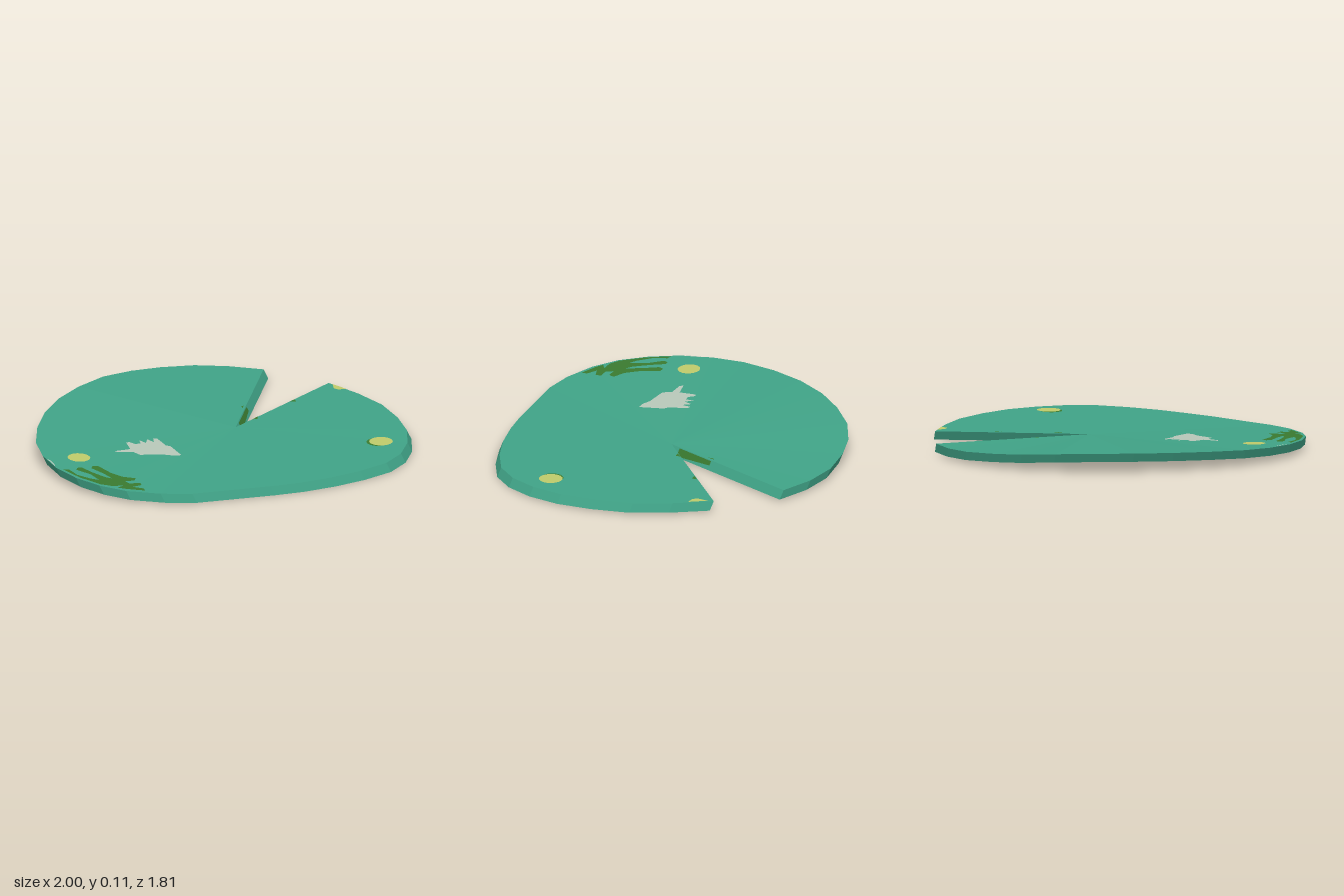
import * as THREE from 'three';

const mat = (name, color) => {
  const m = new THREE.MeshStandardMaterial({ color });
  m.name = name;
  return m;
};

// Rim of the pad from one side of the notch round to the other: x, z, top height
const RIM = [
  [0.57, -0.74, 0.056], [0.41, -0.84, 0.06], [0.24, -0.9, 0.067], [0.05, -0.91, 0.077],
  [-0.12, -0.89, 0.087], [-0.3, -0.83, 0.1], [-0.48, -0.72, 0.106], [-0.64, -0.59, 0.107],
  [-0.78, -0.43, 0.104], [-0.89, -0.25, 0.098], [-0.97, -0.06, 0.09], [-1, 0.12, 0.083],
  [-0.99, 0.3, 0.077], [-0.94, 0.46, 0.071], [-0.86, 0.6, 0.066], [-0.75, 0.71, 0.06],
  [-0.59, 0.8, 0.055], [-0.43, 0.85, 0.051], [-0.24, 0.865, 0.05], [0, 0.885, 0.049],
  [0.16, 0.888, 0.048], [0.34, 0.875, 0.049], [0.52, 0.84, 0.05], [0.69, 0.78, 0.051],
  [0.81, 0.68, 0.052], [0.9, 0.54, 0.053], [0.96, 0.37, 0.055], [0.98, 0.18, 0.056],
  [0.97, -0.03, 0.056], [0.91, -0.23, 0.056], [0.82, -0.43, 0.056],
].map(([x, z, y]) => new THREE.Vector3(x, y, z));
const APEX = new THREE.Vector3(0.13, 0.054, 0.01);
const DROP = new THREE.Vector3(0.02, -0.048, 0.016); // slanted thickness

const fromTriangles = (points) =>
  new THREE.BufferGeometry().setFromPoints(points);

// Slab fanned out from the notch apex
function padGeometry() {
  const low = (p) => p.clone().add(DROP);
  const ring = [APEX, ...RIM];
  const tris = [];
  for (let i = 0; i < RIM.length - 1; i++) {
    const a = RIM[i], b = RIM[i + 1];
    tris.push(APEX, a, b, low(APEX), low(b), low(a));
  }
  ring.forEach((a, i) => {
    const b = ring[(i + 1) % ring.length];
    tris.push(low(a), low(b), b, low(a), b, a);
  });
  const g = fromTriangles(tris);
  g.computeVertexNormals();
  return g;
}

// Height of the top surface at x, z
function topY(x, z) {
  const px = x - APEX.x, pz = z - APEX.z;
  for (let i = 0; i < RIM.length - 1; i++) {
    const a = RIM[i].clone().sub(APEX), b = RIM[i + 1].clone().sub(APEX);
    const det = a.x * b.z - a.z * b.x;
    const u = (px * b.z - pz * b.x) / det, v = (a.x * pz - a.z * px) / det;
    if (u >= -1e-6 && v >= -1e-6) return APEX.y + u * a.y + v * b.y;
  }
  return APEX.y;
}

// Flat marking laid on the top surface, from x, z outline points
function marking(points, lift) {
  const shape = new THREE.Shape(points.map(([x, z]) => new THREE.Vector2(x, -z)));
  const g = new THREE.ShapeGeometry(shape).rotateX(-Math.PI / 2);
  const p = g.attributes.position;
  for (let i = 0; i < p.count; i++) p.setY(i, topY(p.getX(i), p.getZ(i)) + lift);
  g.computeVertexNormals();
  return g;
}

const disc = (x, z, r, n = 18) => Array.from({ length: n }, (_, i) => {
  const t = (i / n) * Math.PI * 2;
  return [x + r * Math.cos(t), z + r * Math.sin(t)];
});

export function createModel() {
  const group = new THREE.Group();
  const green = mat('padGreen', 0x40a387);
  const darkGreen = mat('frondGreen', 0x3a7a30);
  const yellow = mat('spotYellow', 0xbfca6a);
  const pale = mat('palePatch', 0xb8c7b9);
  const add = (name, geometry, material) => {
    const m = new THREE.Mesh(geometry, material);
    m.name = name;
    group.add(m);
  };

  add('pad', padGeometry(), green);

  // Fronds by the rim
  add('frond', marking([
    [-0.965, 0.34], [-0.935, 0.35], [-0.92, 0.43], [-0.87, 0.5], [-0.835, 0.53], [-0.85, 0.44],
    [-0.9, 0.36], [-0.885, 0.335], [-0.86, 0.34], [-0.83, 0.42], [-0.79, 0.5], [-0.76, 0.53],
    [-0.78, 0.45], [-0.815, 0.36], [-0.8, 0.335], [-0.77, 0.34], [-0.74, 0.45], [-0.7, 0.52],
    [-0.64, 0.56], [-0.66, 0.59], [-0.71, 0.58], [-0.7, 0.62], [-0.64, 0.63], [-0.645, 0.66],
    [-0.7, 0.67], [-0.65, 0.71], [-0.655, 0.74], [-0.74, 0.69], [-0.78, 0.66], [-0.74, 0.64],
    [-0.8, 0.63], [-0.85, 0.59], [-0.92, 0.47],
  ], 0.003), darkGreen);

  // Pale leaf patch
  add('palePatch', marking([
    [-0.61, 0.165], [-0.52, 0.16], [-0.51, 0.07], [-0.49, 0.065], [-0.47, 0.1], [-0.44, 0.1],
    [-0.43, 0.055], [-0.41, 0.1], [-0.385, 0.055], [-0.365, 0.1], [-0.35, 0.05], [-0.33, 0.06],
    [-0.32, 0.16], [-0.3, 0.18], [-0.29, 0.315], [-0.33, 0.31], [-0.38, 0.28], [-0.5, 0.25],
    [-0.52, 0.2], [-0.6, 0.185],
  ], 0.003), pale);
  add('paleFleck', marking([[-0.995, 0.17], [-0.985, 0.2], [-0.985, 0.26], [-0.99, 0.28]], 0.003), pale);

  // Round spots, one with a dark edge behind it
  add('spotShade', marking(disc(0.755, 0.48, 0.06), 0.002), darkGreen);
  add('spotRight', marking(disc(0.772, 0.482, 0.063), 0.004), yellow);
  add('spotLeft', marking(disc(-0.825, 0.2, 0.06), 0.003), yellow);
  add('spotAtRim', marking([[0.83, -0.4], [0.815, -0.34], [0.83, -0.315], [0.875, -0.305]], 0.003), yellow);

  // Dark flecks along the notch
  [
    [[0.26, -0.23], [0.28, -0.27], [0.265, -0.26]],
    [[0.525, -0.235], [0.56, -0.23], [0.565, -0.262]],
    [[0.25, -0.06], [0.285, -0.06], [0.29, -0.09]],
  ].forEach((pts) => add('notchFleck', marking(pts, 0.003), darkGreen));

  // Dark strip on the notch wall
  const along = (t, s) => APEX.clone().lerp(RIM[0], t).addScaledVector(DROP, s)
    .add(new THREE.Vector3(0.003, 0, 0.002));
  const [a, b, c, d] = [along(0.08, 0.9), along(0.36, 0.5), along(0.36, 0.05), along(0.08, 0.05)];
  const strip = fromTriangles([a, b, c, a, c, d]);
  strip.computeVertexNormals();
  add('notchStrip', strip, darkGreen);

  return group;
}
